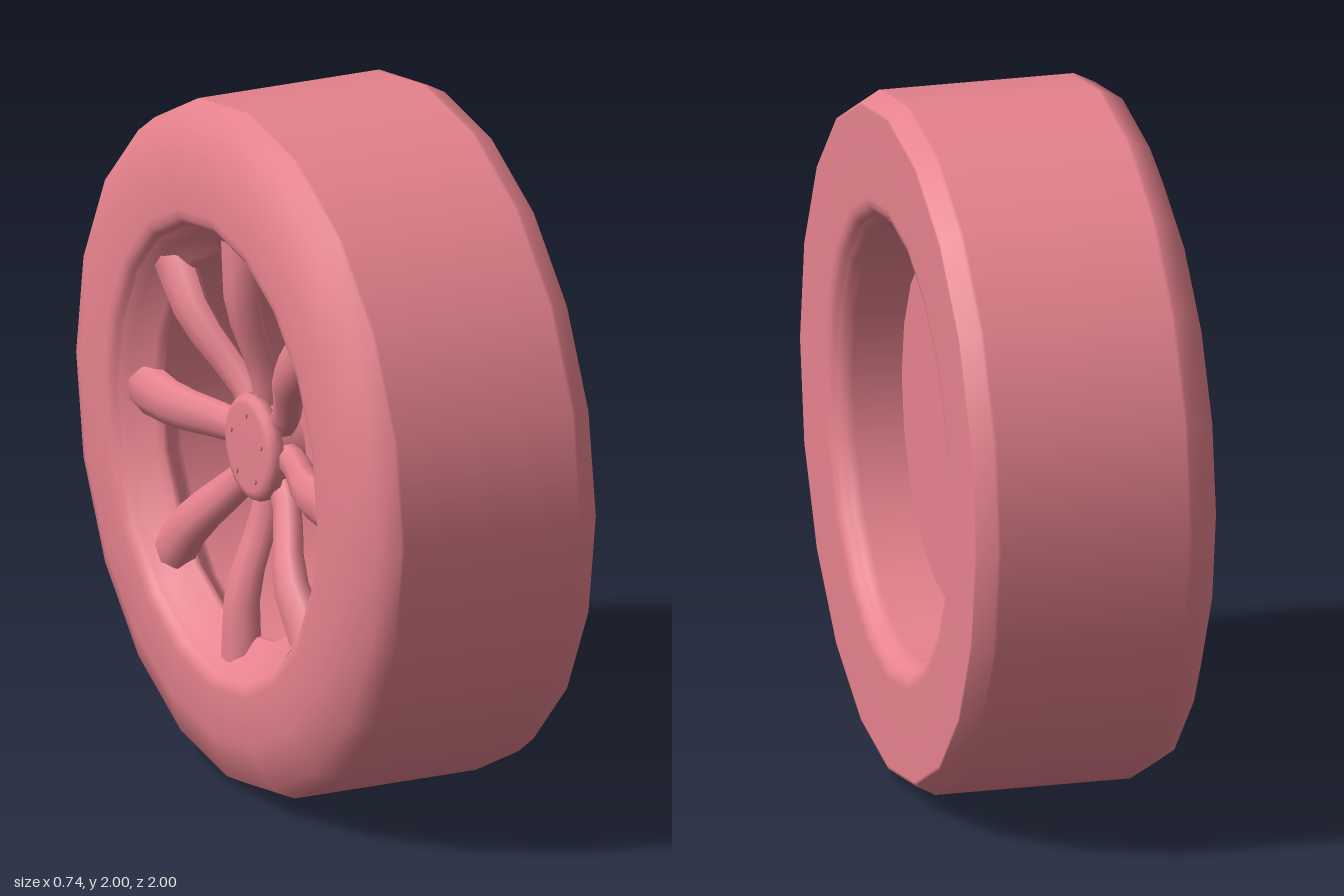
import * as THREE from 'three';

const SIDES = 20;
const material = new THREE.MeshStandardMaterial({ color: 0xe6828d, side: THREE.DoubleSide });

// Lathe about the x axis; profile is a list of [x, radius], running towards +x on outer faces
function turned(name, profile, sides = SIDES) {
  const pts = profile.map(([x, r]) => new THREE.Vector2(r, x));
  const geo = new THREE.LatheGeometry(pts, sides);
  geo.rotateZ(-Math.PI / 2);
  const mesh = new THREE.Mesh(geo, material);
  mesh.name = name;
  return mesh;
}

// Flat-capped cylinder along x, from x0 to x1
function drum(name, x0, x1, radius, sides = SIDES) {
  const geo = new THREE.CylinderGeometry(radius, radius, x1 - x0, sides);
  geo.rotateZ(-Math.PI / 2);
  geo.translate((x0 + x1) / 2, 0, 0);
  const mesh = new THREE.Mesh(geo, material);
  mesh.name = name;
  return mesh;
}

// Rounded bar that runs out of the hub, then leans outward and widens to the rim
function spokeGeometry() {
  const geo = new THREE.CylinderGeometry(1.08, 1.08, 1, 8, 6, false, Math.PI / 8);
  const pos = geo.attributes.position;
  for (let i = 0; i < pos.count; i++) {
    const t = pos.getY(i) + 0.5;
    const centre = THREE.MathUtils.lerp(-0.19, -0.275, THREE.MathUtils.smoothstep(t, 0.05, 0.7));
    const halfWidth = THREE.MathUtils.lerp(0.04, 0.073, t);
    const halfDepth = THREE.MathUtils.lerp(0.035, 0.05, t);
    pos.setXYZ(i, centre + pos.getX(i) * halfDepth, THREE.MathUtils.lerp(0.1, 0.63, t), pos.getZ(i) * halfWidth);
  }
  geo.computeVertexNormals();
  return geo;
}

export function createModel() {
  const wheel = new THREE.Group();
  wheel.name = 'wheel';
  wheel.position.y = 1;

  // Tyre: broad bevel on the outer face, tight shoulder on the inner face, rolled bead edges
  wheel.add(turned('tyre', [
    [-0.33, 0.64], [-0.355, 0.66], [-0.368, 0.675], [-0.37, 0.7], [-0.37, 0.84], [-0.32, 0.97],
    [-0.26, 1], [-0.25, 1], [0.3, 1], [0.31, 1], [0.365, 0.97], [0.367, 0.96], [0.367, 0.7],
    [0.363, 0.675], [0.35, 0.66], [0.33, 0.645],
  ]));

  // Rim: wide barrel, then a ledge narrowing behind the spokes and a dished outer lip
  wheel.add(turned('rim', [
    [0.34, 0.65], [0.325, 0.635], [0.3, 0.63], [-0.17, 0.625], [-0.19, 0.62],
    [-0.235, 0.565], [-0.245, 0.555], [-0.26, 0.555], [-0.275, 0.57], [-0.3, 0.605], [-0.32, 0.62], [-0.345, 0.65],
  ]));

  // Eight spokes
  const spokes = new THREE.Group();
  spokes.name = 'spokes';
  const geo = spokeGeometry();
  for (let i = 0; i < 8; i++) {
    const spoke = new THREE.Mesh(geo, material);
    spoke.name = 'spoke';
    spoke.rotation.x = (i * Math.PI) / 4;
    spokes.add(spoke);
  }
  wheel.add(spokes);

  // Hub with a softly rounded cap and a ring of bolts
  wheel.add(drum('hub', -0.23, -0.14, 0.14, 16));
  wheel.add(turned('hubCap', [
    [-0.26, 0], [-0.26, 0.125], [-0.255, 0.145], [-0.24, 0.155], [-0.215, 0.155], [-0.21, 0.13], [-0.21, 0],
  ]));
  for (let i = 0; i < 5; i++) {
    const bolt = drum('bolt', -0.265, -0.25, 0.01, 6);
    const a = (i * Math.PI * 2) / 5;
    bolt.position.set(0, 0.1 * Math.cos(a), 0.1 * Math.sin(a));
    wheel.add(bolt);
  }

  // Brake disc and its axle stub, sitting slightly off the wheel centre
  const brake = new THREE.Group();
  brake.name = 'brake';
  brake.position.set(0, 0.018, 0.013);
  brake.add(drum('brakeDisc', 0.155, 0.185, 0.515));
  brake.add(drum('axleStub', -0.06, 0.16, 0.13, 16));
  wheel.add(brake);

  const model = new THREE.Group();
  model.name = 'model';
  model.add(wheel);
  return model;
}
